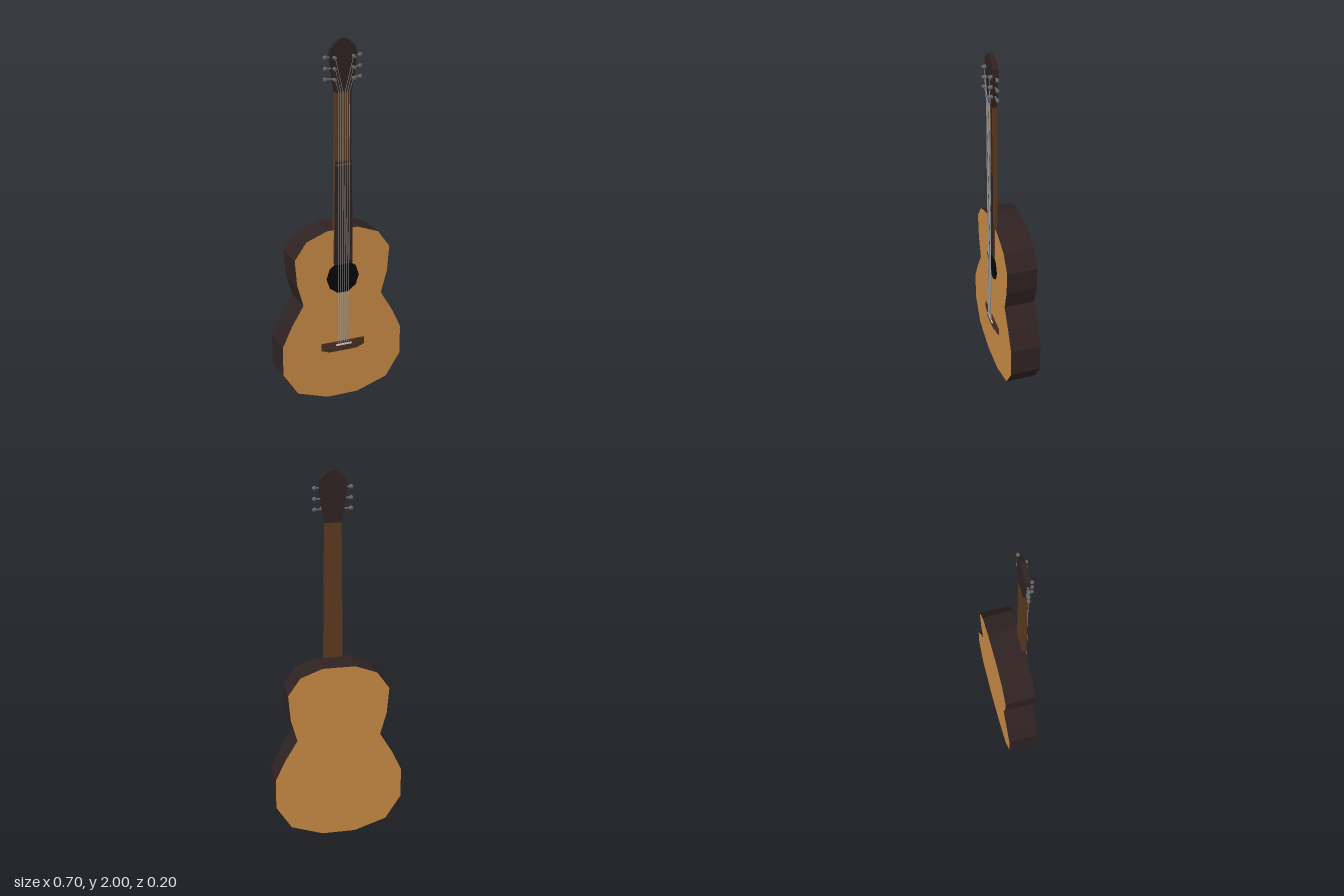
import * as THREE from 'three';

const mat = (name, color) => {
  const m = new THREE.MeshStandardMaterial({ color });
  m.name = name;
  return m;
};

export function createModel() {
  const spruce = mat('honey wood', 0xc98b45);
  const darkWood = mat('dark rosewood', 0x2f2322);
  const neckWood = mat('brown neck wood', 0x5c3a20);
  const bridgeWood = mat('bridge wood', 0x4a2f22);
  const black = mat('sound hole black', 0x080606);
  const metal = mat('grey metal', 0x66676a);
  const steel = mat('string steel', 0x9c9c9c);
  const bone = mat('white bone', 0xe4e0d8);

  const group = new THREE.Group();
  const add = (name, geometry, material, x = 0, y = 0, z = 0, parent = group) => {
    const mesh = new THREE.Mesh(geometry, material);
    mesh.name = name;
    mesh.position.set(x, y, z);
    parent.add(mesh);
    return mesh;
  };

  // Symmetric plate from its right half outline, listed bottom to top
  const plate = (half, z0, z1) => {
    const left = half.filter(p => p[0] > 0).map(([x, y]) => [-x, y]).reverse();
    const shape = new THREE.Shape([...half, ...left].map(([x, y]) => new THREE.Vector2(x, y)));
    const g = new THREE.ExtrudeGeometry(shape, { depth: z1 - z0, bevelEnabled: false });
    return g.translate(0, 0, z0);
  };

  // Body: honey faces front and back, dark sides
  add('body', plate([
    [0.09, 0], [0.264, 0.058], [0.348, 0.187], [0.348, 0.352], [0.295, 0.464],
    [0.227, 0.577], [0.262, 0.7], [0.274, 0.842], [0.207, 0.937], [0.088, 0.982],
  ], -0.1, 0.067), [spruce, darkWood]);

  // Sound hole
  add('soundHole', new THREE.CircleGeometry(0.094, 10), black, 0, 0.708, 0.069);

  // Neck, fretboard over its lower part, dark strip along the upper edge
  add('neck', plate([[0.053, 0.79], [0.044, 1.73]], 0.051, 0.075), neckWood);
  add('fretboard', plate([[0.053, 0.785], [0.0475, 1.36]], 0.07, 0.077), darkWood);
  add('neckEdge', new THREE.BoxGeometry(0.016, 0.37, 0.003), darkWood, 0.036, 1.545, 0.0745);
  add('fretBand', new THREE.BoxGeometry(0.09, 0.012, 0.002), neckWood, 0, 1.342, 0.0768);

  // Head with a rounded crown
  add('head', plate([
    [0.044, 1.725], [0.056, 1.78], [0.068, 1.87], [0.074, 1.92],
    [0.068, 1.953], [0.044, 1.98], [0.02, 1.996], [0, 2],
  ], 0.05, 0.0765), darkWood);

  // Bridge with raised centre and saddle
  add('bridge', plate([[0.08, 0.273], [0.126, 0.29], [0.126, 0.33]], 0.066, 0.072), bridgeWood);
  add('bridgeBlock', plate([[0.06, 0.277], [0.066, 0.284], [0.066, 0.328]], 0.07, 0.08), bridgeWood);
  add('saddle', new THREE.BoxGeometry(0.09, 0.008, 0.008), bone, 0, 0.315, 0.081);

  // Tuners: shaft, knob and string post, three each side
  const heights = [1.795, 1.85, 1.907];
  const shaftGeo = new THREE.CylinderGeometry(0.005, 0.005, 0.04, 6).rotateZ(Math.PI / 2);
  const knobGeo = new THREE.SphereGeometry(0.012, 8, 6).scale(1.05, 1, 0.75);
  const postGeo = new THREE.CylinderGeometry(0.008, 0.01, 0.022, 8).rotateX(Math.PI / 2);
  for (const side of [-1, 1]) {
    for (const y of heights) {
      const tuner = new THREE.Group();
      tuner.name = 'tuner';
      group.add(tuner);
      add('tunerShaft', shaftGeo, metal, side * 0.075, y, 0.063, tuner);
      add('tunerKnob', knobGeo, metal, side * 0.096, y, 0.063, tuner);
      add('tunerPost', postGeo, metal, side * 0.053, y, 0.086, tuner);
    }
  }

  // Straight rod between two points
  const rod = (name, a, b, r) => {
    const path = new THREE.LineCurve3(new THREE.Vector3(...a), new THREE.Vector3(...b));
    add(name, new THREE.TubeGeometry(path, 1, r, 5), steel);
  };

  // Six strings fanning out to their posts above the neck
  for (let i = 0; i < 6; i++) {
    const x = (i - 2.5) * 0.0115;
    const side = Math.sign(x);
    const nutX = x * 1.05;
    const postY = heights[i < 3 ? i : 5 - i];
    rod('string', [x, 0.315, 0.084], [nutX, 1.73, 0.082], 0.0017);
    rod('stringEnd', [nutX, 1.73, 0.082], [side * 0.05, postY, 0.085], 0.0014);
  }

  return group;
}
